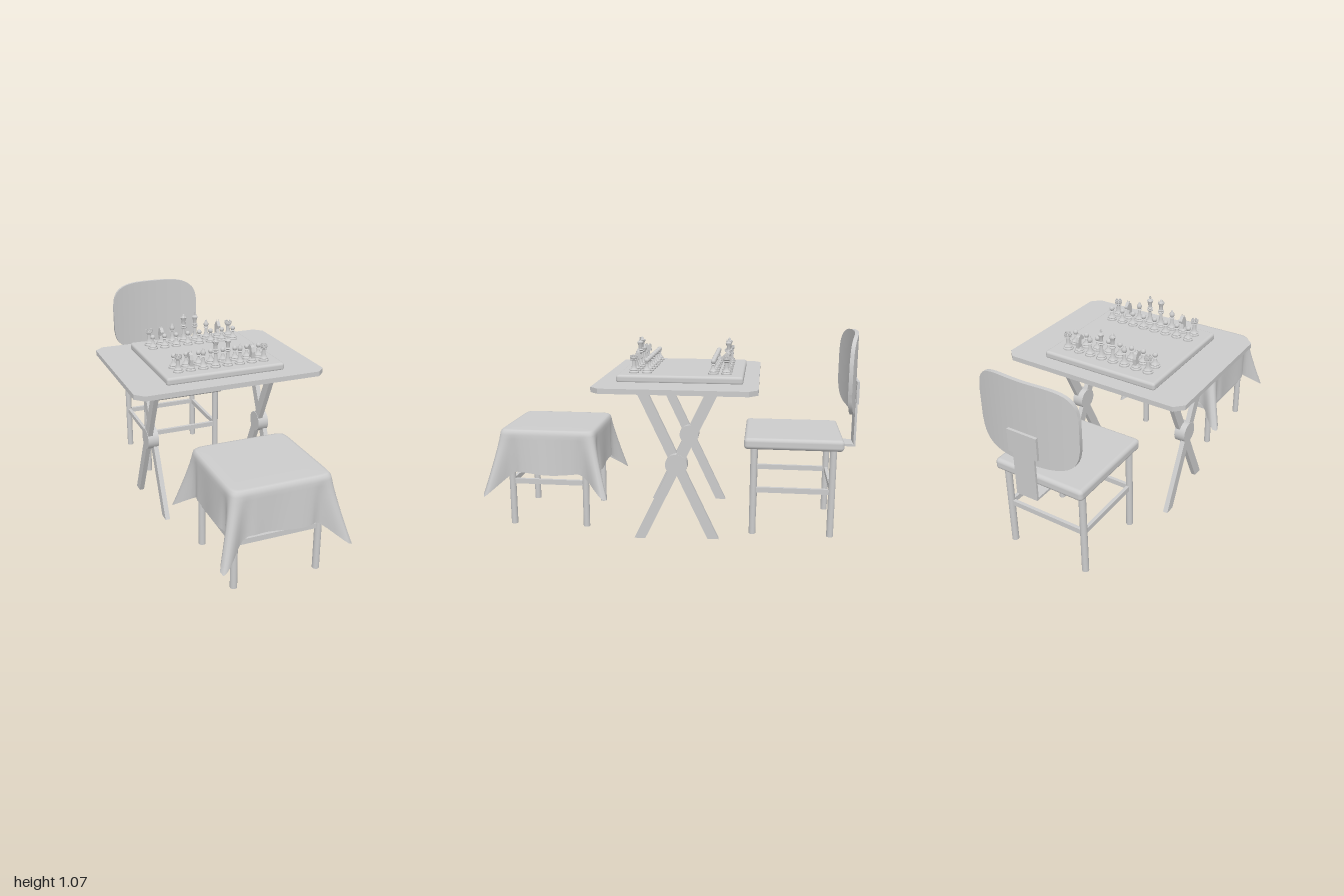
import * as THREE from 'three';
import { toCreasedNormals } from 'three/addons/utils/BufferGeometryUtils.js';
import { RoundedBoxGeometry } from 'three/addons/geometries/RoundedBoxGeometry.js';

const grey = new THREE.MeshStandardMaterial({ color: 0xcccccc });
const cloth = new THREE.MeshStandardMaterial({ color: 0xcccccc, side: THREE.DoubleSide });
const CX = -0.004; // shared centre line of seats and board

function add(parent, name, geo, x = 0, y = 0, z = 0, mat = grey) {
  const m = new THREE.Mesh(geo, mat);
  m.name = name;
  m.position.set(x, y, z);
  parent.add(m);
  return m;
}
function group(parent, name, x = 0, y = 0, z = 0) {
  const g = new THREE.Group();
  g.name = name;
  g.position.set(x, y, z);
  parent.add(g);
  return g;
}
const box = (w, h, d) => new THREE.BoxGeometry(w, h, d);
const polygon = (pts) => new THREE.Shape(pts.map(([x, y]) => new THREE.Vector2(x, y)));

// Seat on four round legs, joined by a ring of stretchers
function seatFrame(parent) {
  const lx = 0.222, lz = 0.205;
  add(parent, 'seat', new RoundedBoxGeometry(0.512, 0.06, 0.515, 4, 0.02), 0, 0.5, 0);
  for (const s of [-1, 1]) {
    for (const t of [-1, 1])
      add(parent, 'leg', new THREE.CylinderGeometry(0.018, 0.018, 0.48, 20), s * lx, 0.24, t * lz);
    add(parent, 'sideStretcher', box(0.018, 0.028, lz * 2), s * lx, 0.246, 0);
    add(parent, 'crossStretcher', box(lx * 2, 0.028, 0.018), 0, 0.246, s * lz);
  }
}

// Curved backrest: a box bent backwards, its outline a rounded rectangle
function backrestGeometry() {
  const w = 0.277, g = new THREE.BoxGeometry(2, 2, 0.02, 28, 1, 1), p = g.attributes.position;
  for (let i = 0; i < p.count; i++) {
    const k = Math.sin(p.getX(i) * Math.PI / 2);
    const h = Math.max(0.08, 0.212 * Math.pow(Math.max(0, 1 - k ** 4), 0.25));
    p.setXYZ(i, w * k, p.getY(i) * h, p.getZ(i) + 0.045 * k * k);
  }
  return toCreasedNormals(g, 0.6);
}

// Cloth: rings from the middle of the top down to the hem, flaring into a fold at each corner
function clothGeometry() {
  const per = 36, n = per * 4, a = 0.264, pos = [], idx = [];
  const rows = [[0, 0.54], [0.5, 0.54], [0.9, 0.54], [0.95, 0.538], [0.985, 0.528], [1, 0.512]].map(([s, y]) => [s, y, 0]);
  for (let k = 1; k <= 10; k++) rows.push([1, 0.512, k / 10]);
  for (const [s, y, t] of rows) {
    for (let i = 0; i < n; i++) {
      const side = Math.floor(i / per), u = (i % per) / per * 2 - 1, v = Math.abs(u);
      const r = a * s / Math.pow(v ** 14 + 1, 1 / 14);
      const c = THREE.MathUtils.smoothstep(v, 0.62, 1);
      const pinch = Math.exp(-(((v - 0.74) / 0.1) ** 2));
      const flare = 0.08 * c * Math.pow(t, 1.15);
      const px = u * r + Math.sign(u) * flare;
      const pz = r + flare + t * (0.008 - 0.03 * pinch + 0.006 * Math.sin(u * 5 + side * 2) * (1 - c));
      const py = y - t * (0.21 + 0.12 * c + 0.006 * Math.sin(u * 4 + side));
      const q = side * Math.PI / 2, co = Math.round(Math.cos(q)), si = Math.round(Math.sin(q));
      pos.push(px * co + pz * si, py, pz * co - px * si);
    }
  }
  for (let j = 0; j < rows.length - 1; j++)
    for (let i = 0; i < n; i++) {
      const p = j * n + i, q = j * n + (i + 1) % n;
      if (j > 0) idx.push(p, p + n, q);
      idx.push(q, p + n, q + n);
    }
  const g = new THREE.BufferGeometry();
  g.setAttribute('position', new THREE.Float32BufferAttribute(pos, 3));
  g.setIndex(idx);
  g.computeVertexNormals();
  return g;
}

// Chess pieces: turned profiles [radius, height] on a common foot
const foot = [[0, 0], [0.027, 0], [0.027, 0.008], [0.022, 0.013], [0.023, 0.017], [0.015, 0.024]];
const turned = (pts) => toCreasedNormals(
  new THREE.LatheGeometry([...foot, ...pts].map(([r, y]) => new THREE.Vector2(r, y)), 20), 0.7);
const tall = [[0.01, 0.045], [0.008, 0.075], [0.016, 0.08], [0.016, 0.084], [0.011, 0.088], [0.016, 0.094], [0.01, 0.099]];
const profiles = {
  pawn: turned([[0.009, 0.035], [0.007, 0.048], [0.013, 0.051], [0.008, 0.055], [0.013, 0.063], [0.013, 0.07], [0.008, 0.077], [0, 0.08]]),
  rook: turned([[0.011, 0.04], [0.01, 0.062], [0.018, 0.067], [0.016, 0.073], [0.02, 0.077], [0.02, 0.084], [0.013, 0.084], [0.013, 0.078], [0, 0.078]]),
  bishop: turned([[0.009, 0.042], [0.007, 0.064], [0.015, 0.068], [0.009, 0.073], [0.014, 0.083], [0.013, 0.092], [0.006, 0.102], [0.005, 0.108], [0, 0.113]]),
  queen: turned([...tall, [0.01, 0.118], [0.018, 0.14], [0.012, 0.142], [0.008, 0.146], [0.006, 0.155], [0, 0.16]]),
  king: turned([...tall, [0.011, 0.12], [0.017, 0.136], [0.012, 0.142], [0.004, 0.146], [0, 0.146]]),
  knight: turned([[0.013, 0.03], [0, 0.03]]),
};
const horseHead = new THREE.ExtrudeGeometry(polygon([[-0.016, 0.026], [0.016, 0.026], [0.008, 0.05], [0.012, 0.066],
  [0.03, 0.064], [0.033, 0.075], [0.014, 0.096], [0.006, 0.097], [-0.01, 0.085], [-0.019, 0.06]]),
  { depth: 0.018, bevelEnabled: false }).translate(0, 0, -0.009).rotateY(-Math.PI / 2);

function chessPiece(parent, kind, x, z, facing) {
  const g = group(parent, kind, x, 0, z);
  g.rotation.y = facing > 0 ? 0 : Math.PI;
  add(g, kind + 'Body', profiles[kind]);
  if (kind === 'knight') {
    add(g, 'horseHead', horseHead);
    for (const s of [-1, 1]) add(g, 'ear', new THREE.ConeGeometry(0.004, 0.016, 8), s * 0.006, 0.101, 0.003);
  }
  if (kind === 'king') {
    add(g, 'crossUpright', box(0.005, 0.02, 0.005), 0, 0.153, 0);
    add(g, 'crossBar', box(0.015, 0.005, 0.005), 0, 0.154, 0);
  }
  if (kind === 'rook')
    for (let i = 0; i < 6; i++) {
      const q = i * Math.PI / 3;
      add(g, 'battlement', box(0.009, 0.009, 0.006), Math.sin(q) * 0.0165, 0.088, Math.cos(q) * 0.0165).rotation.y = q;
    }
  if (kind === 'queen')
    for (let i = 0; i < 8; i++)
      add(g, 'crownPoint', new THREE.ConeGeometry(0.004, 0.01, 6), Math.sin(i * Math.PI / 4) * 0.015, 0.143, Math.cos(i * Math.PI / 4) * 0.015);
}

export function createModel() {
  const model = new THREE.Group();
  model.name = 'chessTableWithSeats';

  // Table: top with cut corners on two crossed trestles
  const table = group(model, 'table', 0, 0, -0.062);
  const w = 0.523, d = 0.413, c = 0.045;
  const top = polygon([[-w + c, -d], [w - c, -d], [w, -d + c], [w, d - c], [w - c, d], [-w + c, d], [-w, d - c], [-w, -d + c]]);
  add(table, 'tableTop', new THREE.ExtrudeGeometry(top, { depth: 0.026, bevelEnabled: false }).rotateX(-Math.PI / 2), 0, 0.8, 0);
  for (const x of [-0.33, 0.336]) {
    const trestle = group(table, 'trestle', x);
    for (const s of [-1, 1]) {
      const lean = 0.192 * s, h = 0.029;
      const leg = polygon([[lean - h, 0], [lean + h, 0], [-lean + h, 0.801], [-lean - h, 0.801]]);
      const geo = new THREE.ExtrudeGeometry(leg, { depth: 0.026, bevelEnabled: false });
      add(trestle, 'crossedLeg', geo.translate(0, 0, -0.013).rotateY(-Math.PI / 2), s * 0.0155, 0, 0);
    }
    add(trestle, 'pivotHub', new THREE.CylinderGeometry(0.057, 0.057, 0.061, 32).rotateZ(Math.PI / 2), 0, 0.405, 0);
  }

  // Board and both sets of pieces
  add(model, 'chessBoard', new RoundedBoxGeometry(0.655, 0.042, 0.65, 4, 0.014), CX, 0.841, -0.071);
  const pieces = group(model, 'chessPieces', CX, 0.861, -0.067);
  const order = ['rook', 'knight', 'bishop', 'queen', 'king', 'bishop', 'knight', 'rook'];
  for (const side of [-1, 1])
    order.forEach((kind, i) => {
      const x = (i - 3.5) * 0.0688;
      chessPiece(pieces, kind, x, side * 0.24, -side);
      chessPiece(pieces, 'pawn', x, side * 0.172, -side);
    });

  // Chair with a backrest held by an L-shaped bracket
  const chair = group(model, 'chair', CX, 0, -0.662);
  seatFrame(chair);
  add(chair, 'backrest', backrestGeometry(), 0, 0.857, -0.312);
  add(chair, 'bracketUpright', box(0.12, 0.34, 0.012), 0, 0.625, -0.328);
  add(chair, 'bracketFoot', box(0.12, 0.012, 0.14), 0, 0.461, -0.264);
  add(chair, 'bracketPlate', box(0.165, 0.12, 0.014), 0, 0.75, -0.33);

  // Stool covered by a cloth
  const stool = group(model, 'stool', CX, 0, 0.655);
  seatFrame(stool);
  add(stool, 'drapedCloth', clothGeometry(), 0, 0, 0, cloth);
  return model;
}
